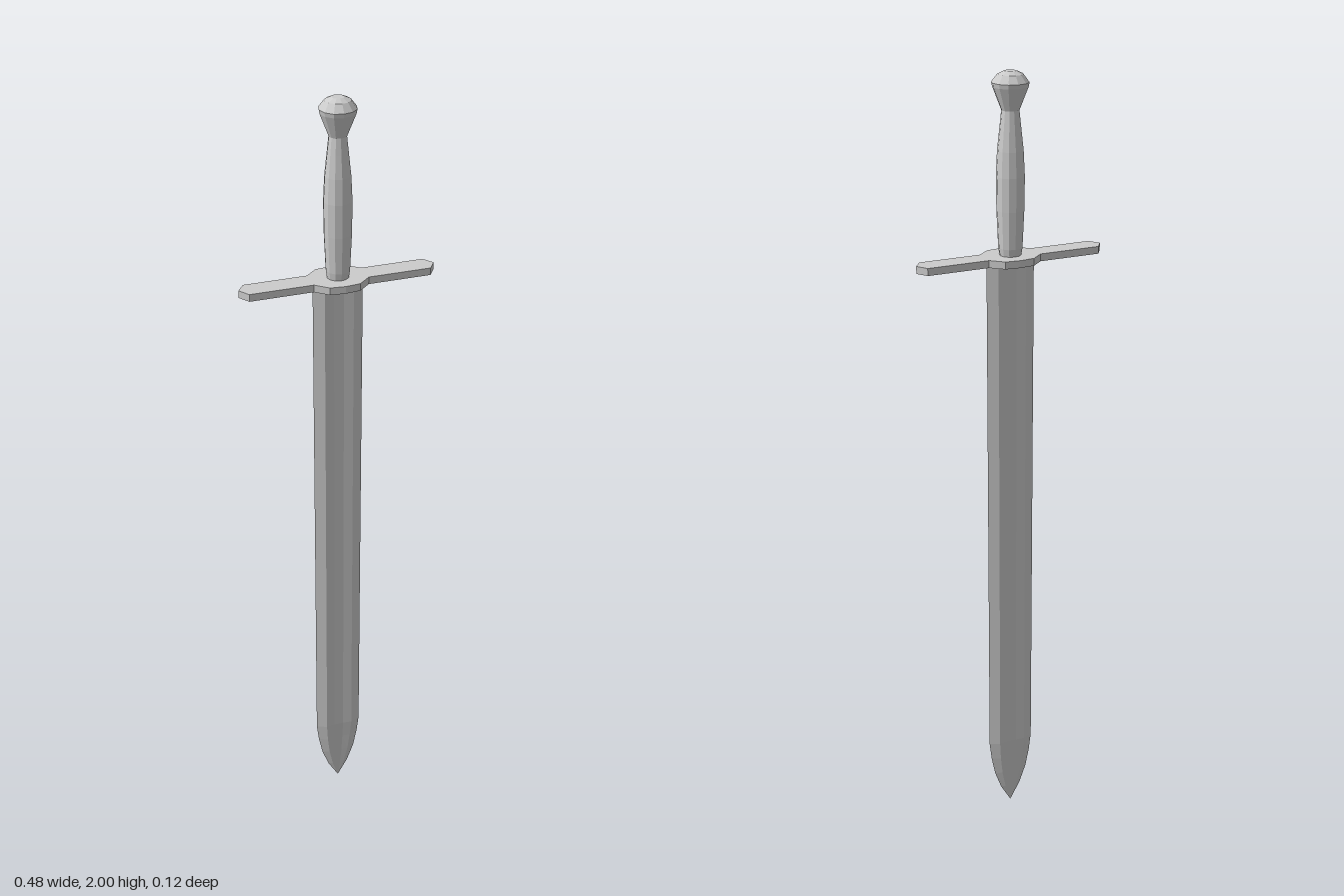
import * as THREE from 'three';

const material = new THREE.MeshStandardMaterial({ color: 0xcccccc, flatShading: true });

function addPart(group, name, geometry) {
  const mesh = new THREE.Mesh(geometry, material);
  mesh.name = name;
  group.add(mesh);
  return mesh;
}

// Blade: bevelled, shallowly fullered section swept along rows of [y, half width, half thickness]
function bladeGeometry() {
  const rows = [
    [1.56, 0.062, 0.012], [0.2, 0.062, 0.012], [0.15, 0.056, 0.009],
    [0.1, 0.046, 0.007], [0.05, 0.028, 0.004], [0, 0, 0],
  ];
  const section = [
    [1, 0], [0.58, 1], [0.2, 0.8], [-0.2, 0.8], [-0.58, 1],
    [-1, 0], [-0.58, -1], [-0.2, -0.8], [0.2, -0.8], [0.58, -1],
  ];
  const n = section.length;
  const positions = [];
  const index = [];
  for (const [y, w, t] of rows) {
    for (const [sx, sz] of section) positions.push(sx * w, y, sz * t);
  }
  for (let r = 0; r < rows.length - 1; r++) {
    for (let i = 0; i < n; i++) {
      const a = r * n + i;
      const b = r * n + (i + 1) % n;
      index.push(a, a + n, b);
      if (r < rows.length - 2) index.push(b, a + n, b + n);
    }
  }
  const geometry = new THREE.BufferGeometry();
  geometry.setAttribute('position', new THREE.Float32BufferAttribute(positions, 3));
  geometry.setIndex(index);
  // Winding runs from +x towards +z, so flip to face outwards
  for (let i = 0; i < index.length; i += 3) [index[i + 1], index[i + 2]] = [index[i + 2], index[i + 1]];
  geometry.setIndex(index);
  geometry.computeVertexNormals();
  return geometry;
}

// Crossguard: flat bar outline with a widened centre and pointed ends
function guardGeometry() {
  const quarter = [[0.24, 0], [0.222, 0.027], [0.067, 0.027], [0.037, 0.054], [0, 0.058]];
  const upper = [...quarter, ...quarter.slice(0, 4).reverse().map(([x, z]) => [-x, z])];
  const lower = upper.slice(1, -1).reverse().map(([x, z]) => [x, -z]);
  const shape = new THREE.Shape([...upper, ...lower].map(([x, z]) => new THREE.Vector2(x, z)));
  const geometry = new THREE.ExtrudeGeometry(shape, { depth: 0.018, bevelEnabled: false });
  geometry.rotateX(-Math.PI / 2);
  geometry.translate(0, 1.554, 0);
  return geometry;
}

function turned(profile) {
  return new THREE.LatheGeometry(profile.map(([r, y]) => new THREE.Vector2(r, y)), 12);
}

export function createModel() {
  const group = new THREE.Group();
  group.name = 'sword';

  addPart(group, 'blade', bladeGeometry());
  addPart(group, 'crossguard', guardGeometry());

  // Swelling grip
  addPart(group, 'grip', turned([
    [0, 1.57], [0.026, 1.57], [0.029, 1.59], [0.033, 1.68], [0.034, 1.76],
    [0.031, 1.82], [0.025, 1.875], [0.021, 1.912],
  ]));

  // Flared pommel with a faceted dome
  addPart(group, 'pommel', turned([
    [0.021, 1.912], [0.042, 1.965], [0.044, 1.975], [0.03, 1.993], [0.015, 2.0], [0, 2.0],
  ]));

  return group;
}
